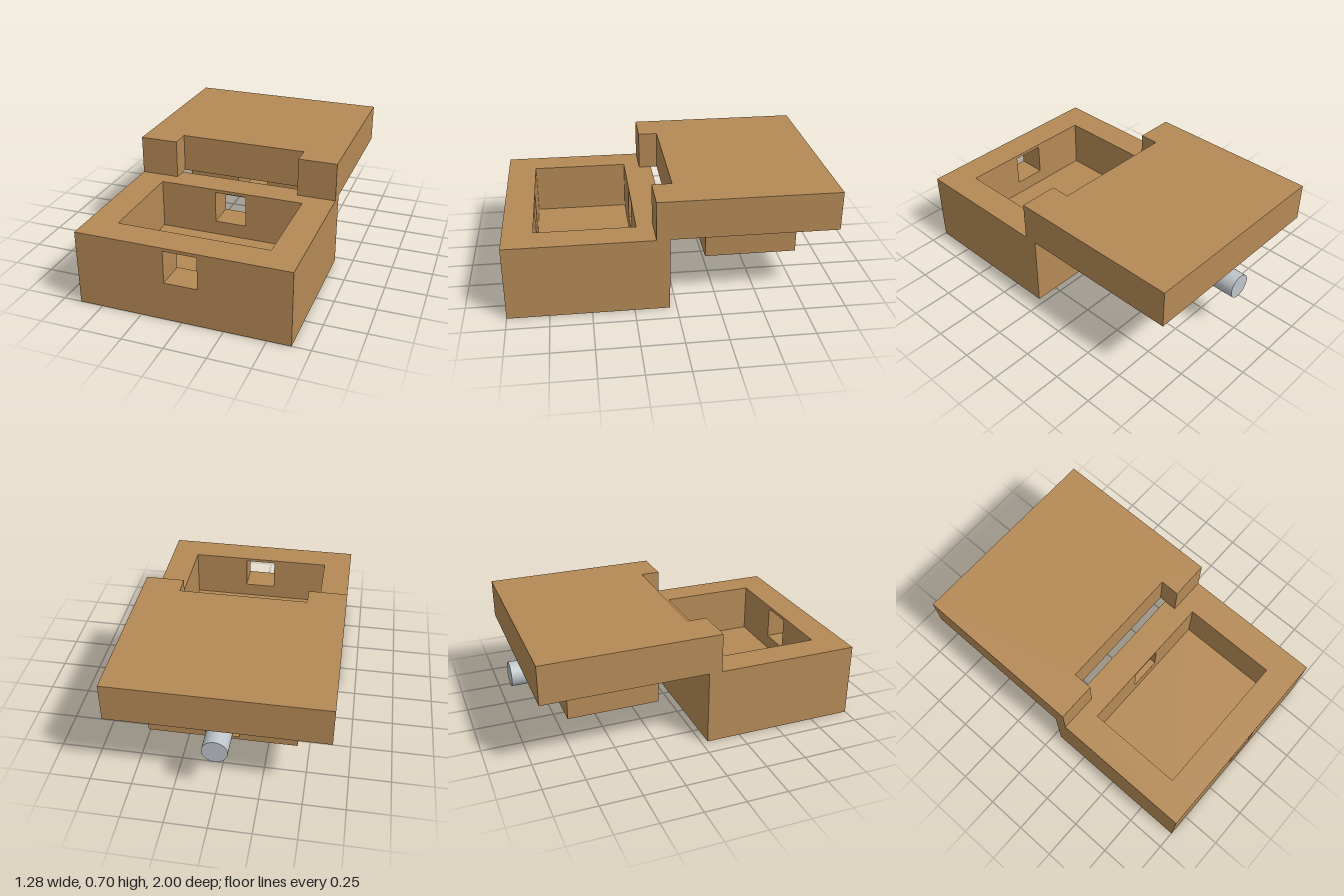
import * as THREE from 'three';

const wood = new THREE.MeshStandardMaterial({ color: 0xb58a56 });
wood.name = 'wood';
const steel = new THREE.MeshStandardMaterial({ color: 0xbfc5ca });
steel.name = 'steel';

// Box given by its minimum and maximum corners
function block(name, [x0, y0, z0], [x1, y1, z1]) {
  const g = new THREE.BoxGeometry(x1 - x0, y1 - y0, z1 - z0);
  g.translate((x0 + x1) / 2, (y0 + y1) / 2, (z0 + z1) / 2);
  const mesh = new THREE.Mesh(g, wood);
  mesh.name = name;
  return mesh;
}

function rectangle(PathType, x0, y0, x1, y1) {
  const p = new PathType();
  p.moveTo(x0, y0);
  p.lineTo(x1, y0);
  p.lineTo(x1, y1);
  p.lineTo(x0, y1);
  p.closePath();
  return p;
}

// Block pierced front to back by the square bolt hole
function piercedBlock(name, halfWidth, y0, y1, z0, z1) {
  const shape = rectangle(THREE.Shape, -halfWidth, y0, halfWidth, y1);
  shape.holes.push(rectangle(THREE.Path, -0.1, 0.24, 0.1, 0.44));
  const g = new THREE.ExtrudeGeometry(shape, { depth: z1 - z0, bevelEnabled: false });
  g.translate(0, 0, z0);
  const mesh = new THREE.Mesh(g, wood);
  mesh.name = name;
  return mesh;
}

export function createModel() {
  const model = new THREE.Group();
  model.name = 'boxWithLid';

  // Hollow base: floor, side walls, pierced front and back walls
  const base = new THREE.Group();
  base.name = 'base';
  const floorY = 0.15, rimY = 0.46;
  base.add(
    block('baseFloor', [-0.64, 0, 0.04], [0.64, floorY, 1]),
    block('leftWall', [0.46, floorY, 0.04], [0.64, rimY, 1]),
    block('rightWall', [-0.64, floorY, 0.04], [-0.46, rimY, 1]),
    piercedBlock('frontWall', 0.46, floorY, rimY, 0.82, 1),
    piercedBlock('backWall', 0.46, floorY, rimY, 0.04, 0.22),
  );
  model.add(base);

  // Lid slab with a notch in its front edge
  const lid = new THREE.Group();
  lid.name = 'lid';
  const outline = new THREE.Shape([
    [-0.64, 0.96], [-0.64, -0.12], [-0.4, -0.12], [-0.4, 0],
    [0.4, 0], [0.4, -0.12], [0.64, -0.12], [0.64, 0.96],
  ].map(([x, y]) => new THREE.Vector2(x, y)));
  const slabGeometry = new THREE.ExtrudeGeometry(outline, { depth: 0.24, bevelEnabled: false });
  slabGeometry.rotateX(-Math.PI / 2).translate(0, rimY, 0);
  const slab = new THREE.Mesh(slabGeometry, wood);
  slab.name = 'lidSlab';
  lid.add(slab, piercedBlock('lidPlug', 0.44, 0.22, rimY, -0.76, -0.2));
  model.add(lid);

  // Round bolt lying in the plug's hole
  const boltFront = -0.4, boltBack = -1;
  const boltGeometry = new THREE.CylinderGeometry(0.075, 0.075, boltFront - boltBack, 32);
  boltGeometry.rotateX(Math.PI / 2).translate(0, 0.34, (boltFront + boltBack) / 2);
  const bolt = new THREE.Mesh(boltGeometry, steel);
  bolt.name = 'bolt';
  model.add(bolt);

  return model;
}
